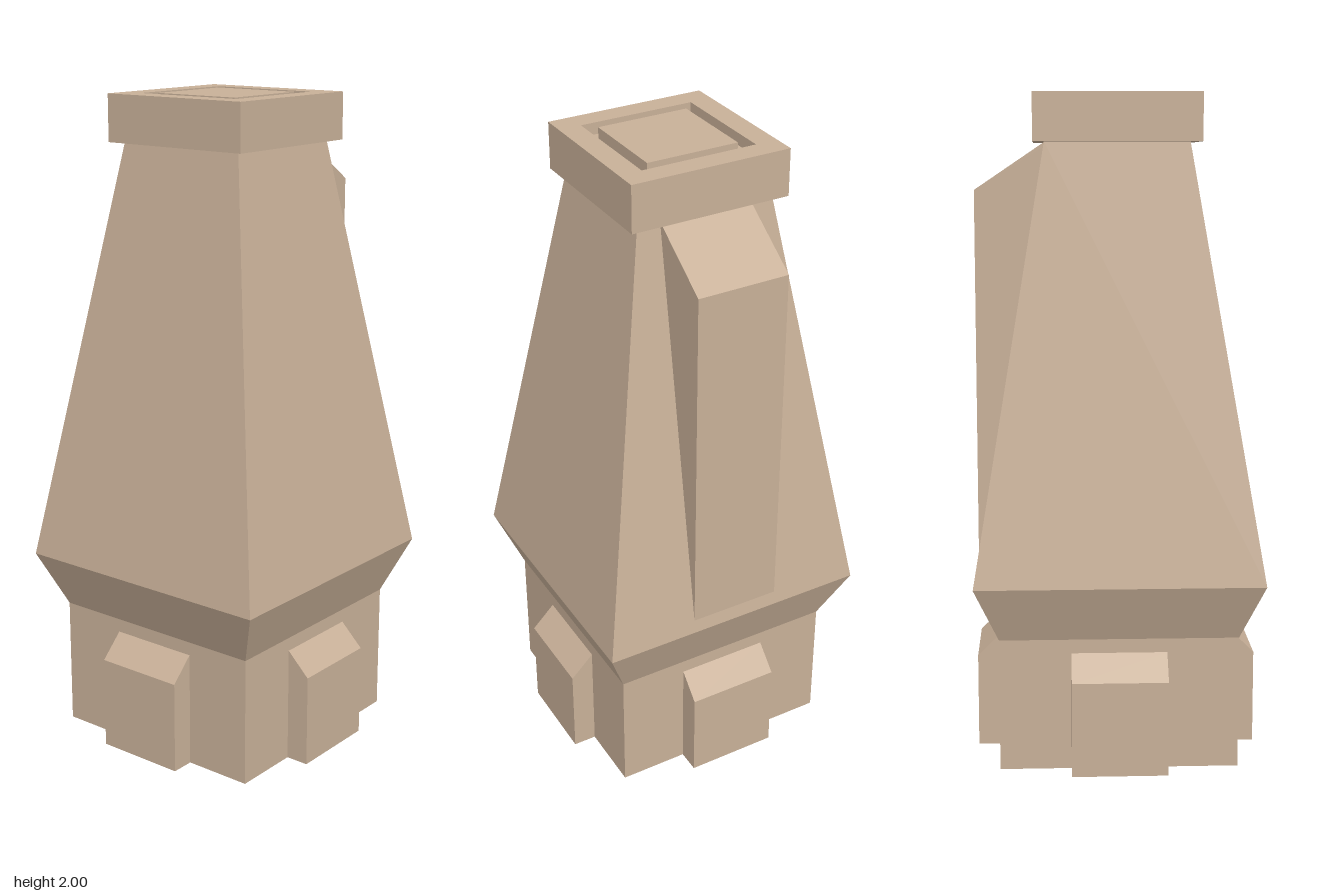
import * as THREE from 'three';

const material = new THREE.MeshStandardMaterial({ color: 0xc8b098, flatShading: true });

// Square solid from a profile of [half width, height], listed bottom to top
function squareSolid(name, profile) {
  const points = profile.map(([h, y]) => new THREE.Vector2(h * Math.SQRT2, y));
  const mesh = new THREE.Mesh(new THREE.LatheGeometry(points, 4, Math.PI / 4), material);
  mesh.name = name;
  return mesh;
}

// Slab with an x/y outline, centred across z
function slab(name, outline, width) {
  const shape = new THREE.Shape(outline.map(([x, y]) => new THREE.Vector2(x, y)));
  const geometry = new THREE.ExtrudeGeometry(shape, { depth: width, bevelEnabled: false });
  geometry.translate(0, 0, -width / 2);
  const mesh = new THREE.Mesh(geometry, material);
  mesh.name = name;
  return mesh;
}

export function createModel() {
  const model = new THREE.Group();
  model.name = 'chimneyTower';

  // Square plinth, flared collar and tapering shaft
  model.add(squareSolid('plinth', [[0, 0], [0.357, 0], [0.357, 0.4]]));
  model.add(squareSolid('shaft', [[0.357, 0.4], [0.429, 0.572], [0.214, 1.858]]));

  // Cap with a square groove around a central panel
  model.add(squareSolid('cap', [
    [0, 1.858], [0.248, 1.858], [0.248, 2], [0.179, 2],
    [0.179, 1.964], [0.143, 1.964], [0.143, 2], [0, 2],
  ]));

  // Buttress foot with a sloped top on each side
  for (let i = 0; i < 4; i++) {
    const foot = slab('buttressFoot', [[0.3, 0], [0.429, 0], [0.429, 0.287], [0.357, 0.358], [0.3, 0.358]], 0.286);
    foot.rotation.y = i * Math.PI / 2;
    model.add(foot);
  }

  // Tall upright fin on the left side of the shaft
  model.add(slab('sideFin', [[0.19, 1.858], [0.3, 0.62], [0.422, 0.612], [0.422, 1.717], [0.212, 1.858]], 0.286));

  return model;
}
